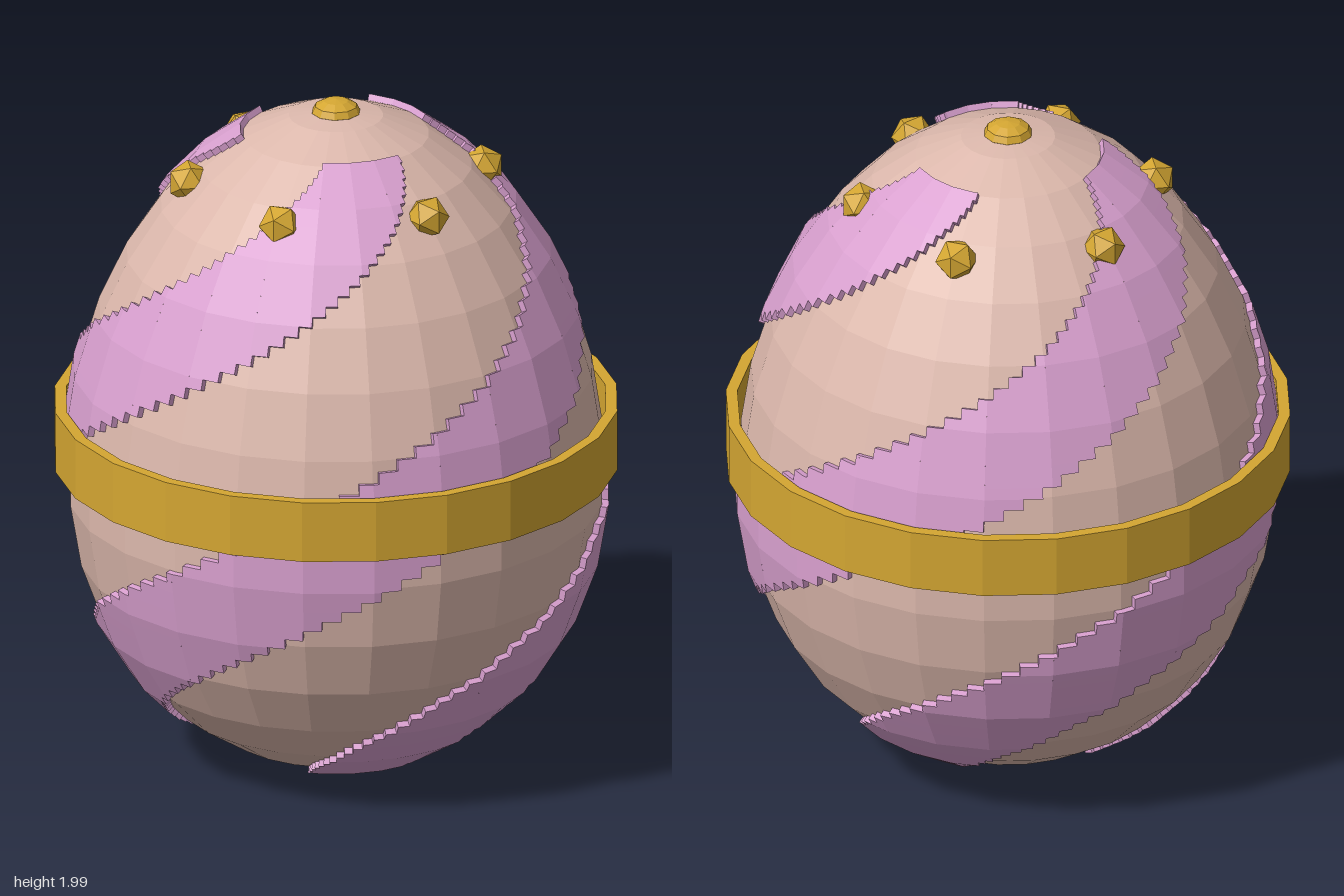
import * as THREE from 'three';
import { mergeVertices } from 'three/addons/utils/BufferGeometryUtils.js';

const SIDES = 24, RINGS = 16, ROWS = 96;
const FACET = (Math.PI * 2) / SIDES;

const paint = (name, color) => {
  const m = new THREE.MeshStandardMaterial({ color });
  m.name = name;
  return m;
};

// flat facets without shared normals
function faceted(geometry) {
  const g = geometry.index ? geometry.toNonIndexed() : geometry;
  g.computeVertexNormals();
  return g;
}

function part(name, geometry, material) {
  const mesh = new THREE.Mesh(geometry, material);
  mesh.name = name;
  return mesh;
}

// egg profile by polar angle u, 0 at the top and PI at the bottom
function profile(u) {
  const t = Math.cos(u);
  return new THREE.Vector2(0.76 * Math.sin(u) * (1 - 0.1 * t), 0.99 + 0.98 * t);
}

// point on the faceted egg, lifted outwards
function surfacePoint(u, phi, lift) {
  const k = Math.min(RINGS - 1, Math.floor((u / Math.PI) * RINGS + 1e-6));
  const step = Math.PI / RINGS;
  const p = profile(k * step).lerp(profile((k + 1) * step), u / step - k);
  const d = profile(u + 0.01).sub(profile(u - 0.01)).normalize();
  p.x += -d.y * lift;
  p.y += d.x * lift;
  const local = phi - (Math.floor(phi / FACET) + 0.5) * FACET;
  const r = (p.x * Math.cos(FACET / 2)) / Math.cos(local);
  return [r * Math.sin(phi), p.y, r * Math.cos(phi)];
}

// raised spiral stripe made of stepped rows
function stripeGeometry() {
  const pos = [];
  const quad = (a, b, c, d) => pos.push(...a, ...b, ...c, ...a, ...c, ...d);
  const deg = Math.PI / 180;
  const lift = 0.019, sink = -0.01;
  for (let i = 12; i < 85; i++) {
    const u0 = (i / ROWS) * Math.PI, u1 = ((i + 1) / ROWS) * Math.PI;
    const y = profile((u0 + u1) / 2).y;
    const end = (48.5 + 136 * (y - 1.79)) * deg;
    const start = end - 48 * deg;
    const cuts = [start];
    for (let k = Math.ceil(start / FACET); k * FACET < end; k++) cuts.push(k * FACET);
    cuts.push(end);
    for (let j = 0; j + 1 < cuts.length; j++) {
      // nudge inside the facet so both ends use the same plane
      const a = cuts[j] + 1e-5, b = cuts[j + 1] - 1e-5;
      const P = (u, f, h) => surfacePoint(u, f, h);
      quad(P(u1, a, lift), P(u1, b, lift), P(u0, b, lift), P(u0, a, lift));
      quad(P(u0, a, lift), P(u0, b, lift), P(u0, b, sink), P(u0, a, sink));
      quad(P(u1, a, sink), P(u1, b, sink), P(u1, b, lift), P(u1, a, lift));
    }
    for (const [f, flip] of [[start, false], [end, true]]) {
      const q = [[u1, sink], [u1, lift], [u0, lift], [u0, sink]].map(([u, h]) => surfacePoint(u, f, h));
      if (flip) q.reverse();
      quad(...q);
    }
  }
  const g = new THREE.BufferGeometry();
  g.setAttribute('position', new THREE.Float32BufferAttribute(pos, 3));
  return faceted(g);
}

export function createModel() {
  const model = new THREE.Group();
  model.name = 'decoratedEgg';
  const shell = paint('shellPink', 0xdcb8ac);
  const plum = paint('plum', 0xd9a0cf);
  const gold = paint('gold', 0xd4a632);

  // shell
  const points = [];
  for (let i = RINGS; i >= 0; i--) points.push(profile((i / RINGS) * Math.PI));
  points[0].x = points[RINGS].x = 0;
  model.add(part('eggShell', faceted(new THREE.LatheGeometry(points, SIDES)), shell));

  // three spiral stripes
  const stripe = stripeGeometry();
  for (let i = 0; i < 3; i++) {
    const mesh = part('spiralStripe', stripe, plum);
    mesh.rotation.y = (i * Math.PI * 2) / 3;
    model.add(mesh);
  }

  // belt around the middle
  const belt = [[0.77, 0.905], [0.803, 0.905], [0.803, 1.085], [0.77, 1.085], [0.77, 0.905]];
  model.add(part('belt', faceted(new THREE.LatheGeometry(belt.map(p => new THREE.Vector2(...p)), SIDES)), gold));

  // ring of studs
  const studShape = faceted(new THREE.IcosahedronGeometry(0.063, 0));
  for (let i = 0; i < 6; i++) {
    const phi = (i * Math.PI) / 3;
    const stud = part('stud', studShape, gold);
    stud.position.set(0.42 * Math.sin(phi), 1.77, 0.42 * Math.cos(phi));
    stud.rotation.y = phi;
    model.add(stud);
  }

  // crown knob
  const knob = part('crownKnob', faceted(new THREE.SphereGeometry(0.07, 10, 6).scale(1, 0.55, 1)), gold);
  knob.position.y = 1.961;
  model.add(knob);
  return model;
}
